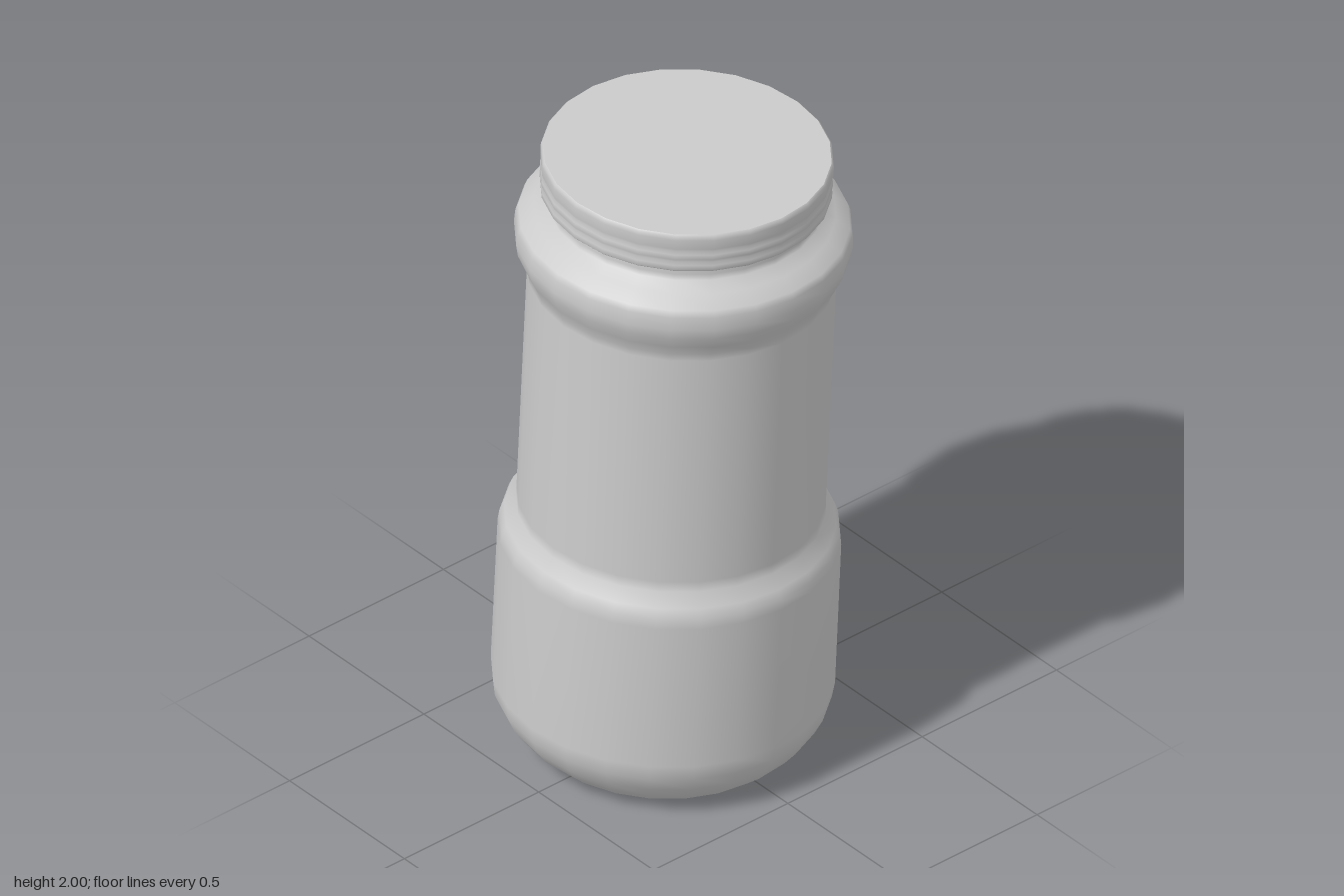
import * as THREE from 'three';

const SIDES = 24;

export function createModel() {
  const group = new THREE.Group();
  group.name = 'jar';
  const material = new THREE.MeshStandardMaterial({ color: 0xcccccc });

  // Turned part from [radius, height] pairs; separate parts keep hard edges between them
  const turned = (name, profile) => {
    const points = profile.map(([r, y]) => new THREE.Vector2(r, y));
    const mesh = new THREE.Mesh(new THREE.LatheGeometry(points, SIDES), material);
    mesh.name = name;
    group.add(mesh);
  };

  // Flat underside
  turned('base', [[0, 0], [0.38, 0]]);

  // Wide foot, straight waist, shoulder bulge and neck
  turned('body', [
    [0.38, 0], [0.425, 0.04], [0.459, 0.085], [0.482, 0.135], [0.489, 0.185],
    [0.488, 0.66], [0.484, 0.69], [0.472, 0.72], [0.44, 0.757],
    [0.439, 0.79], [0.439, 1.555], [0.442, 1.58], [0.458, 1.615], [0.476, 1.655],
    [0.482, 1.69], [0.479, 1.73], [0.471, 1.75], [0.43, 1.779], [0.394, 1.803],
    [0.39, 1.82], [0.39, 1.86],
  ]);

  // Screw lid: open underside ring, shallow ridged rim, flat top
  turned('lidUnderside', [[0.38, 1.85], [0.409, 1.845]]);
  turned('lidRim', [
    [0.409, 1.845], [0.415, 1.851], [0.416, 1.868], [0.411, 1.878],
    [0.416, 1.888], [0.416, 1.904], [0.411, 1.914], [0.416, 1.924],
    [0.417, 1.955], [0.415, 1.966], [0.41, 1.971],
  ]);
  turned('lidTop', [[0.41, 1.971], [0.0, 1.971]]);

  // The whole jar leans slightly to its left and backward
  const axis = new THREE.Vector3(0.038, 1.97, -0.068).normalize();
  group.quaternion.setFromUnitVectors(new THREE.Vector3(0, 1, 0), axis);
  group.position.set(-0.02, 0.016, 0.03);

  return group;
}
